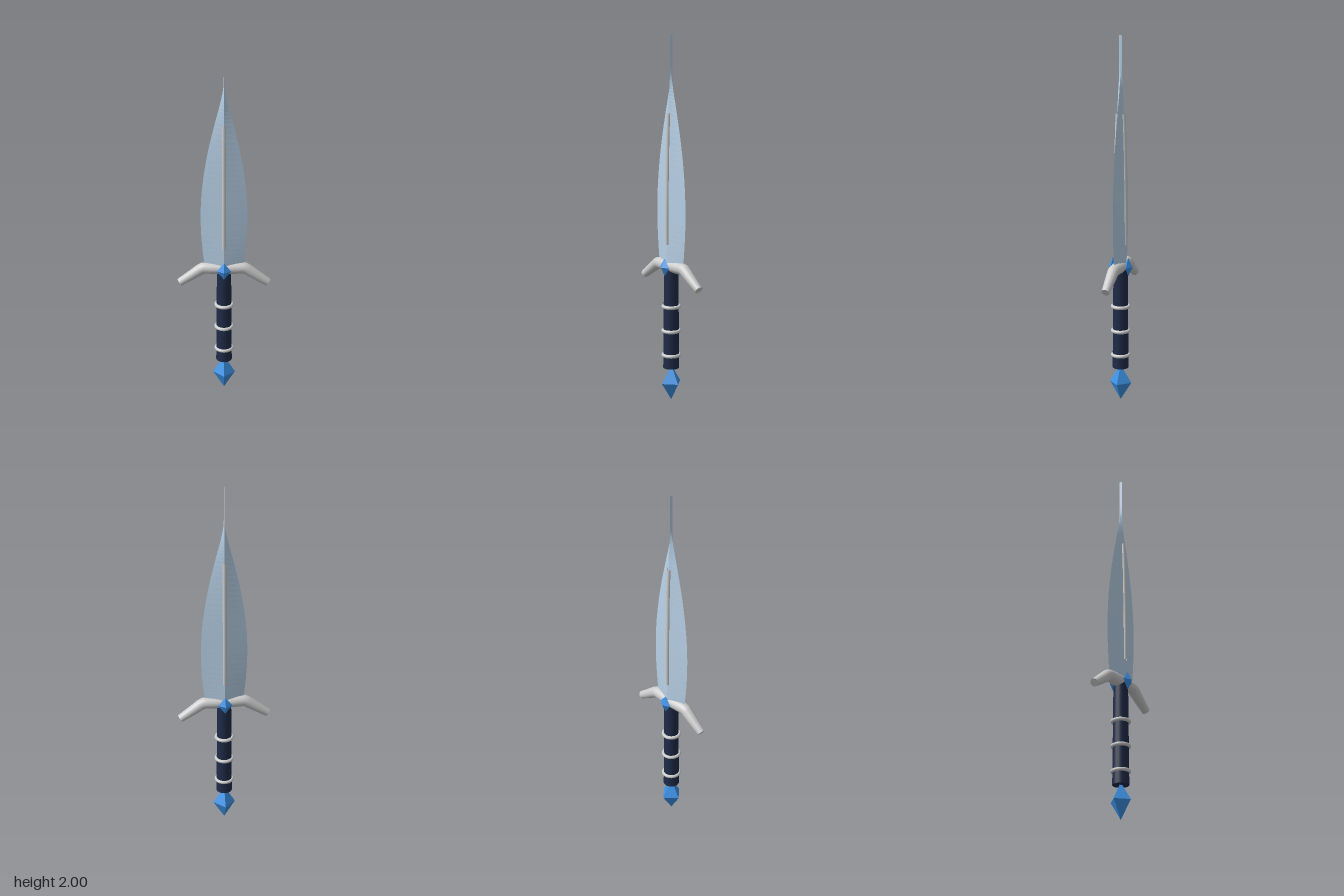
import * as THREE from 'three';

const mat = (color, extra = {}) => new THREE.MeshStandardMaterial({ color, ...extra });

// Skin a list of equal-length rings (counter-clockwise about the path) with flat end caps
function loft(rings) {
  const n = rings[0].length, pos = [], idx = [];
  rings.forEach(r => r.forEach(p => pos.push(p.x, p.y, p.z)));
  for (let i = 0; i < rings.length - 1; i++) {
    for (let j = 0; j < n; j++) {
      const a = i * n + j, b = i * n + (j + 1) % n;
      idx.push(a, b, a + n, b, b + n, a + n);
    }
  }
  for (const [ring, end] of [[rings[0], false], [rings[rings.length - 1], true]]) {
    const s = pos.length / 3;
    ring.forEach(p => pos.push(p.x, p.y, p.z));
    for (let j = 1; j < n - 1; j++) idx.push(s, ...(end ? [s + j, s + j + 1] : [s + j + 1, s + j]));
  }
  const g = new THREE.BufferGeometry();
  g.setAttribute('position', new THREE.Float32BufferAttribute(pos, 3));
  g.setIndex(idx);
  g.computeVertexNormals();
  return g;
}

export function createModel() {
  const model = new THREE.Group();
  model.name = 'dagger';
  const steel = mat(0xb9d2e8, { flatShading: true, side: THREE.DoubleSide });
  const silver = mat(0xcccccc);
  const leather = mat(0x1f2b47);
  const crystal = mat(0x3d92e6, { flatShading: true });

  const add = (name, geometry, material, x = 0, y = 0, z = 0) => {
    const mesh = new THREE.Mesh(geometry, material);
    mesh.name = name;
    mesh.position.set(x, y, z);
    model.add(mesh);
    return mesh;
  };

  // Leaf-shaped blade: height, half width, half thickness of a diamond section
  const profile = new THREE.CatmullRomCurve3([
    [0.76, 0.104, 0.031], [0.85, 0.115, 0.031], [1.0, 0.125, 0.03], [1.15, 0.123, 0.028],
    [1.3, 0.108, 0.026], [1.45, 0.082, 0.023], [1.6, 0.047, 0.018], [1.7, 0.021, 0.014],
    [1.78, 0.005, 0.009], [1.84, 0.0015, 0.008], [2.0, 0.0005, 0.008],
  ].map(([y, w, t]) => new THREE.Vector3(w, y, t)));
  const sections = profile.getPoints(50).map(({ x, y, z }) => [
    new THREE.Vector3(0, y, z), new THREE.Vector3(x, y, 0),
    new THREE.Vector3(0, y, -z), new THREE.Vector3(-x, y, 0),
  ]);
  add('blade', loft(sections), steel);

  // Raised rib, collar gem: front and back
  for (const side of [1, -1]) {
    const rib = new THREE.CatmullRomCurve3([
      [0.88, 0.028], [1.05, 0.028], [1.3, 0.024], [1.5, 0.02], [1.59, 0.016],
    ].map(([y, z]) => new THREE.Vector3(0, y, side * z)));
    add(side > 0 ? 'frontRib' : 'backRib', new THREE.TubeGeometry(rib, 16, 0.011, 10),
      mat(0xcccccc, { side: THREE.DoubleSide }));
    const gem = add(side > 0 ? 'frontGem' : 'backGem', new THREE.OctahedronGeometry(1),
      crystal, 0, 0.757, side * 0.044);
    gem.scale.set(0.039, 0.05, 0.024);
  }

  // Drooping guard: centre line with a tapering radius, mirrored about x = 0
  const half = [[0, 0.758, 0.039], [0.06, 0.758, 0.035], [0.1, 0.758, 0.032],
    [0.115, 0.756, 0.0315], [0.13, 0.748, 0.031], [0.18, 0.713, 0.027], [0.242, 0.671, 0.022]];
  const line = [...half.slice(1).reverse().map(([x, y, r]) => [-x, y, r]), ...half];
  const rings = line.map(([x, y, r], i) => {
    const a = line[Math.max(i - 1, 0)], b = line[Math.min(i + 1, line.length - 1)];
    const angle = Math.atan2(b[1] - a[1], b[0] - a[0]);
    return Array.from({ length: 20 }, (_, j) => {
      const t = j / 20 * Math.PI * 2, up = Math.cos(t) * Math.min(r, 0.033);
      return new THREE.Vector3(x - Math.sin(angle) * up, y + Math.cos(angle) * up, Math.sin(t) * r);
    });
  });
  add('guard', loft(rings), silver);

  // Wrapped grip with three rings
  add('grip', new THREE.CylinderGeometry(0.039, 0.044, 0.56, 20), leather, 0, 0.465, 0);
  for (const y of [0.258, 0.396, 0.533]) {
    add('gripRing', new THREE.TorusGeometry(0.044, 0.01, 10, 28), silver, 0, y, 0).rotation.x = Math.PI / 2;
  }

  // Crystal pommel
  const pommel = add('pommel', new THREE.OctahedronGeometry(1), crystal, 0, 0.1, 0);
  pommel.scale.set(0.062, 0.1, 0.062);

  return model;
}
